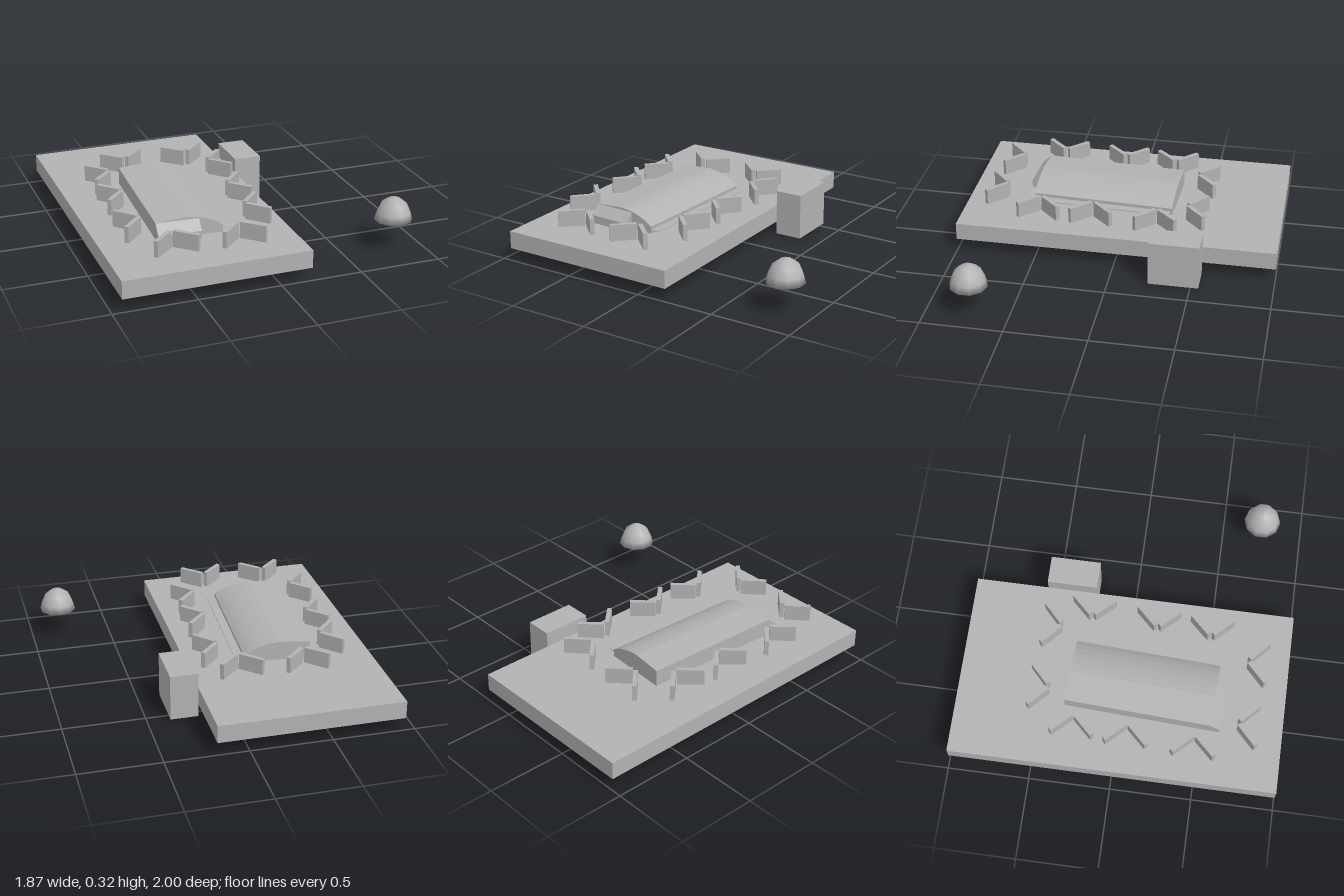
import * as THREE from 'three';

export function createModel() {
  const group = new THREE.Group();
  const grey = new THREE.MeshStandardMaterial({ color: 0xb2b2b2, side: THREE.DoubleSide });
  grey.name = 'plain grey';

  const add = (name, geometry, x, y, z, rotY = 0, parent = group) => {
    const mesh = new THREE.Mesh(geometry, grey);
    mesh.name = name;
    mesh.position.set(x, y, z);
    mesh.rotation.y = rotY;
    parent.add(mesh);
    return mesh;
  };

  // Platform: a shallow box, open underneath
  const slab = new THREE.BoxGeometry(1.13, 0.11, 2);
  const faces = Array.from(slab.index.array);
  faces.splice(18, 6);
  slab.setIndex(faces);
  slab.clearGroups();
  add('platform', slab, -0.375, 0.135, 0);

  // Step block against the platform's side
  add('sideBlock', new THREE.BoxGeometry(0.17, 0.285, 0.31), 0.275, 0.1425, -0.395);

  // Low-poly dome standing apart
  const domeProfile = [[0, 0], [0.115, 0], [0.102, 0.045], [0.078, 0.1], [0.035, 0.132], [0, 0.14]]
    .map(([r, y]) => new THREE.Vector2(r, y));
  add('dome', new THREE.LatheGeometry(domeProfile, 10), 0.825, 0.18, 0.74);

  // Table, turned slightly on the platform
  const table = new THREE.Group();
  table.name = 'table';
  table.position.set(-0.38, 0.19, 0.124);
  table.rotation.y = -0.05;
  group.add(table);

  // Curved table body: high on the right, falling away to the left
  const section = new THREE.Shape();
  section.moveTo(-0.203, 0);
  section.lineTo(-0.203, 0.105);
  section.lineTo(-0.02, 0.12);
  section.quadraticCurveTo(0.12, 0.112, 0.203, 0.045);
  section.lineTo(0.203, 0);
  section.closePath();
  const body = new THREE.ExtrudeGeometry(section, { depth: 0.895, bevelEnabled: false, curveSegments: 6 });
  add('tableBody', body, 0, 0, -0.4475, 0, table);

  // Thin sheet spreading out beneath the table
  add('groundSheet', new THREE.BoxGeometry(0.457, 0.005, 0.88), 0.028, 0.022, 0.004, 0, table);

  // Sloping end flap on the front right half
  const wedge = new THREE.Shape();
  wedge.moveTo(0, 0);
  wedge.lineTo(0.06, 0);
  wedge.lineTo(0.06, 0.05);
  wedge.lineTo(0, 0.105);
  wedge.closePath();
  const flap = new THREE.ExtrudeGeometry(wedge, { depth: 0.26, bevelEnabled: false });
  add('endFlap', flap, 0.057, 0, 0.4475, -Math.PI / 2, table);

  // Chevron seats around the table: [x, z, turn], the point facing the table
  const right = 0, back = -Math.PI / 2, left = Math.PI, front = Math.PI / 2;
  const seats = [
    [-0.703, -0.265, right], [-0.718, 0.065, right], [-0.736, 0.474, right],
    [0.061, -0.24, left], [0.04, 0.166, left], [0.026, 0.5, left],
    [-0.487, -0.497, back], [-0.084, -0.478, back],
    [-0.565, 0.786, front], [-0.167, 0.804, front],
  ];
  const plate = new THREE.BoxGeometry(0.16, 0.1, 0.027);
  for (const [x, z, turn] of seats) {
    const seat = new THREE.Group();
    seat.name = 'chevronSeat';
    seat.position.set(x, 0.27, z);
    seat.rotation.y = turn;
    for (const s of [-1, 1]) add('seatPlate', plate, 0, 0, s * 0.07, s * 0.81, seat);
    group.add(seat);
  }
  return group;
}
